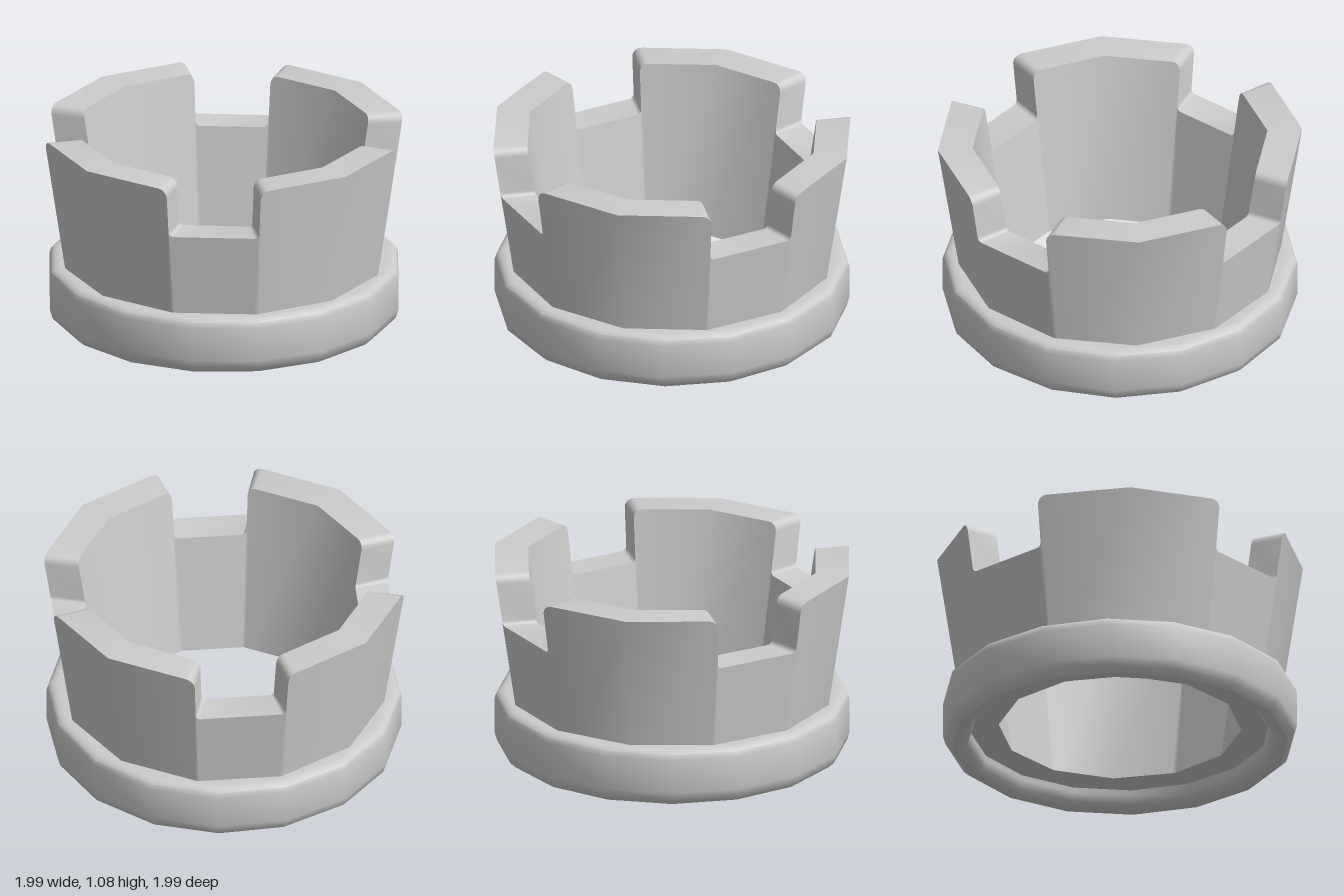
import * as THREE from 'three';
import { toCreasedNormals } from 'three/addons/utils/BufferGeometryUtils.js';

const SIDES = 12, CREASE = 0.7;
const TOP = 1.08, FLOOR = 0.79, BOTTOM = 0.1, FLARE = 0.15;
const STEP = 360 / SIDES;
const material = new THREE.MeshStandardMaterial({ color: 0xcccccc });

// Point on a flared twelve-sided wall; deg runs from +z towards +x
function wallPoint(deg, y, topRadius) {
  const within = ((deg % STEP) + STEP) % STEP - STEP / 2;
  const rad = THREE.MathUtils.degToRad;
  const flat = Math.cos(rad(STEP / 2)) / Math.cos(rad(within));
  const r = (topRadius - (TOP - y) * FLARE) * flat;
  return [r * Math.sin(rad(deg)), y, r * Math.cos(rad(deg))];
}

// Upper edge of one quarter: a raised tooth (0 to 60 degrees), then a notch
function quarterEdge() {
  const top = 0.05, foot = 0.025, n = 4;
  const degPer = 60; // degrees per unit of wall length
  const rise = [];
  for (let i = 0; i <= n; i++) { // fillet at the foot
    const a = (i / n) * Math.PI / 2;
    rise.push([-foot * degPer * (1 - Math.sin(a)), FLOOR + foot * (1 - Math.cos(a))]);
  }
  for (let i = 0; i <= n; i++) { // rounded upper corner
    const a = (i / n) * Math.PI / 2;
    rise.push([top * degPer * (1 - Math.cos(a)), TOP - top * (1 - Math.sin(a))]);
  }
  const fall = rise.map(([d, y]) => [60 - d, y]).reverse();
  return [...rise, [30, TOP], ...fall];
}

function wallGeometry() {
  const edge = [];
  for (let q = 0; q < 4; q++) {
    for (const [d, y] of quarterEdge()) edge.push([d + q * 90, y]);
  }
  edge.push([edge[0][0] + 360, edge[0][1]]);

  const columns = edge.map(([d, y]) => ({
    d,
    outTop: wallPoint(d, y, 1), inTop: wallPoint(d, y, 0.81),
    outLow: wallPoint(d, BOTTOM, 1), inLow: wallPoint(d, BOTTOM, 0.81),
  }));
  const pos = [];
  const quad = (a, b, c, d) => pos.push(...a, ...b, ...c, ...a, ...c, ...d);
  for (let i = 0; i < columns.length - 1; i++) {
    const a = columns[i], b = columns[i + 1];
    quad(a.outTop, b.outTop, b.inTop, a.inTop);
    if (Math.abs(b.d - a.d) < 1e-6) continue; // upright tooth side
    quad(a.outLow, b.outLow, b.outTop, a.outTop);
    quad(b.inLow, a.inLow, a.inTop, b.inTop);
    quad(b.outLow, a.outLow, a.inLow, b.inLow);
  }
  const g = new THREE.BufferGeometry();
  g.setAttribute('position', new THREE.Float32BufferAttribute(pos, 3));
  return toCreasedNormals(g, CREASE);
}

// Sixteen-sided band with softened edges, closed cross-section
function bandGeometry() {
  const profile = [
    [0.82, 0.3], [0.82, 0.07], [0.835, 0.025], [0.87, 0], [0.92, 0],
    [0.955, 0.03], [0.97, 0.08], [0.97, 0.27], [0.962, 0.3], [0.94, 0.317],
    [0.91, 0.32], [0.84, 0.32], [0.82, 0.3],
  ].map(([x, y]) => new THREE.Vector2(x, y));
  return toCreasedNormals(new THREE.LatheGeometry(profile, 16), CREASE);
}

export function createModel() {
  const model = new THREE.Group();
  model.name = 'crown';

  const wall = new THREE.Mesh(wallGeometry(), material);
  wall.name = 'notchedWall';
  const band = new THREE.Mesh(bandGeometry(), material);
  band.name = 'baseBand';

  model.add(wall, band);
  return model;
}
